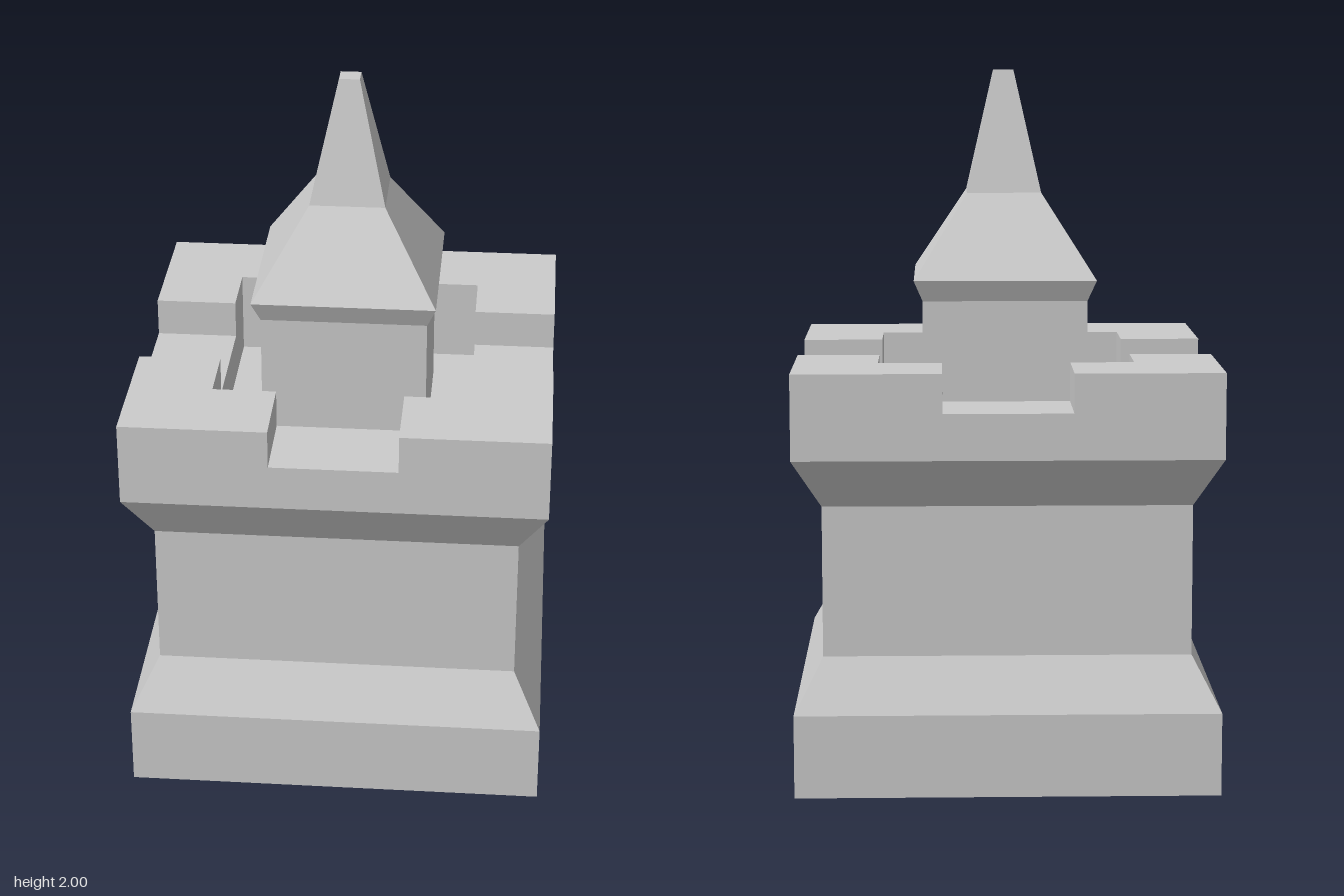
import * as THREE from 'three';

const HALF = 0.595;   // half width of base and parapet
const INNER = 0.36;   // half width of the sunken roof
const NOTCH = 0.18;   // half width of each parapet gap
const GAP_Y = 1.08, TOP_Y = 1.19, FLOOR_Y = 0.95;

// Square "turned" solid: profile of [half width, height], from bottom to top
function squareLathe(profile) {
  const points = profile.map(([h, y]) => new THREE.Vector2(h * Math.SQRT2, y));
  return new THREE.LatheGeometry(points, 4, Math.PI / 4);
}

export function createModel() {
  const material = new THREE.MeshStandardMaterial({ color: 0xcccccc, flatShading: true });
  const tower = new THREE.Group();
  tower.name = 'castleTower';

  const add = (name, geometry) => {
    const mesh = new THREE.Mesh(geometry, material);
    mesh.name = name;
    tower.add(mesh);
    return mesh;
  };

  // Plinth, wall, corbel and low parapet around a sunken roof
  add('towerBody', squareLathe([
    [0, 0], [HALF, 0], [HALF, 0.235], [0.515, 0.385], [0.515, 0.81],
    [HALF, 0.95], [HALF, GAP_Y], [INNER, GAP_Y], [INNER, FLOOR_Y], [0, FLOOR_Y],
  ]));

  // L-shaped merlon on each corner
  const corner = new THREE.Shape([
    [NOTCH, INNER], [INNER, INNER], [INNER, NOTCH],
    [HALF, NOTCH], [HALF, HALF], [NOTCH, HALF],
  ].map(([x, y]) => new THREE.Vector2(x, y)));
  const merlon = new THREE.ExtrudeGeometry(corner, { depth: TOP_Y - GAP_Y, bevelEnabled: false });
  merlon.rotateX(-Math.PI / 2);
  merlon.translate(0, GAP_Y, 0);
  for (let i = 0; i < 4; i++) {
    add(`cornerMerlon${i + 1}`, merlon).rotation.y = i * Math.PI / 2;
  }

  // Central turret and its flared, blunt spire
  add('turret', squareLathe([[0.235, FLOOR_Y], [0.235, 1.35]]));
  add('spire', squareLathe([
    [0.235, 1.35], [0.26, 1.41], [0.107, 1.65], [0.029, 2], [0, 2],
  ]));

  return tower;
}
